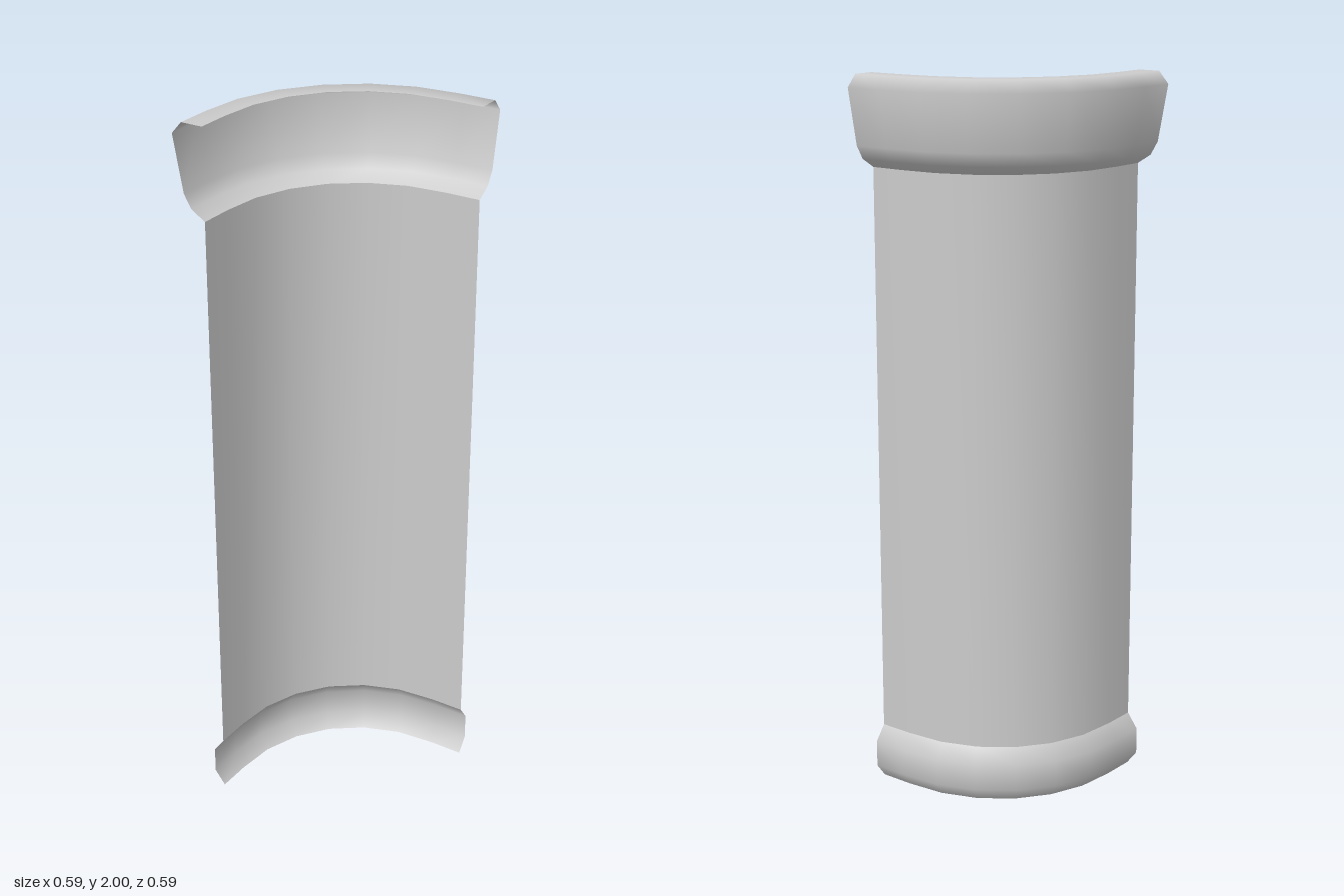
import * as THREE from 'three';

// Half of the plan curve, from the +x end to the middle: [x, z]; the rest is mirrored over the diagonal
const mirror = (half) => [...half, ...half.slice(0, -1).reverse().map(([x, z]) => [z, x])];
const inner = mirror([[0.297, -0.205], [0.2, -0.205], [0.09, -0.195], [-0.01, -0.158], [-0.095, -0.095]]);
const outer = mirror([[0.297, -0.297], [0.19, -0.297], [0.065, -0.285], [-0.055, -0.24], [-0.16, -0.16]]);

// Sweeps a profile along the plan curve; each profile point is [offset 0..1 from inner to outer, y]
function sweep(name, profile, material) {
  const n = inner.length;
  const positions = [];
  const index = [];
  profile.forEach(([t, y], j) => {
    for (let i = 0; i < n; i++) {
      positions.push(
        THREE.MathUtils.lerp(inner[i][0], outer[i][0], t),
        y,
        THREE.MathUtils.lerp(inner[i][1], outer[i][1], t)
      );
      if (j < profile.length - 1 && i < n - 1) {
        const a = j * n + i;
        index.push(a, a + 1, a + n, a + 1, a + n + 1, a + n);
      }
    }
  });
  const geometry = new THREE.BufferGeometry();
  geometry.setAttribute('position', new THREE.Float32BufferAttribute(positions, 3));
  geometry.setIndex(index);
  geometry.computeVertexNormals();
  const mesh = new THREE.Mesh(geometry, material);
  mesh.name = name;
  return mesh;
}

export function createModel() {
  const group = new THREE.Group();
  group.name = 'curvedColumnCorner';
  const material = new THREE.MeshStandardMaterial({ color: 0xcccccc, side: THREE.DoubleSide });

  // Rounded moulding at the foot
  group.add(sweep('baseMoulding', [[0, 0], [0.34, 0.04], [0.34, 0.115], [0, 0.157]], material));
  // Plain curved wall
  group.add(sweep('shaft', [[0, 0.157], [0, 1.753]], material));
  // Flared moulding with a flat top lip
  group.add(sweep('capital', [
    [0, 1.753], [0.44, 1.778], [0.68, 1.815], [1, 1.967], [0.68, 2], [0, 2],
  ], material));

  return group;
}
